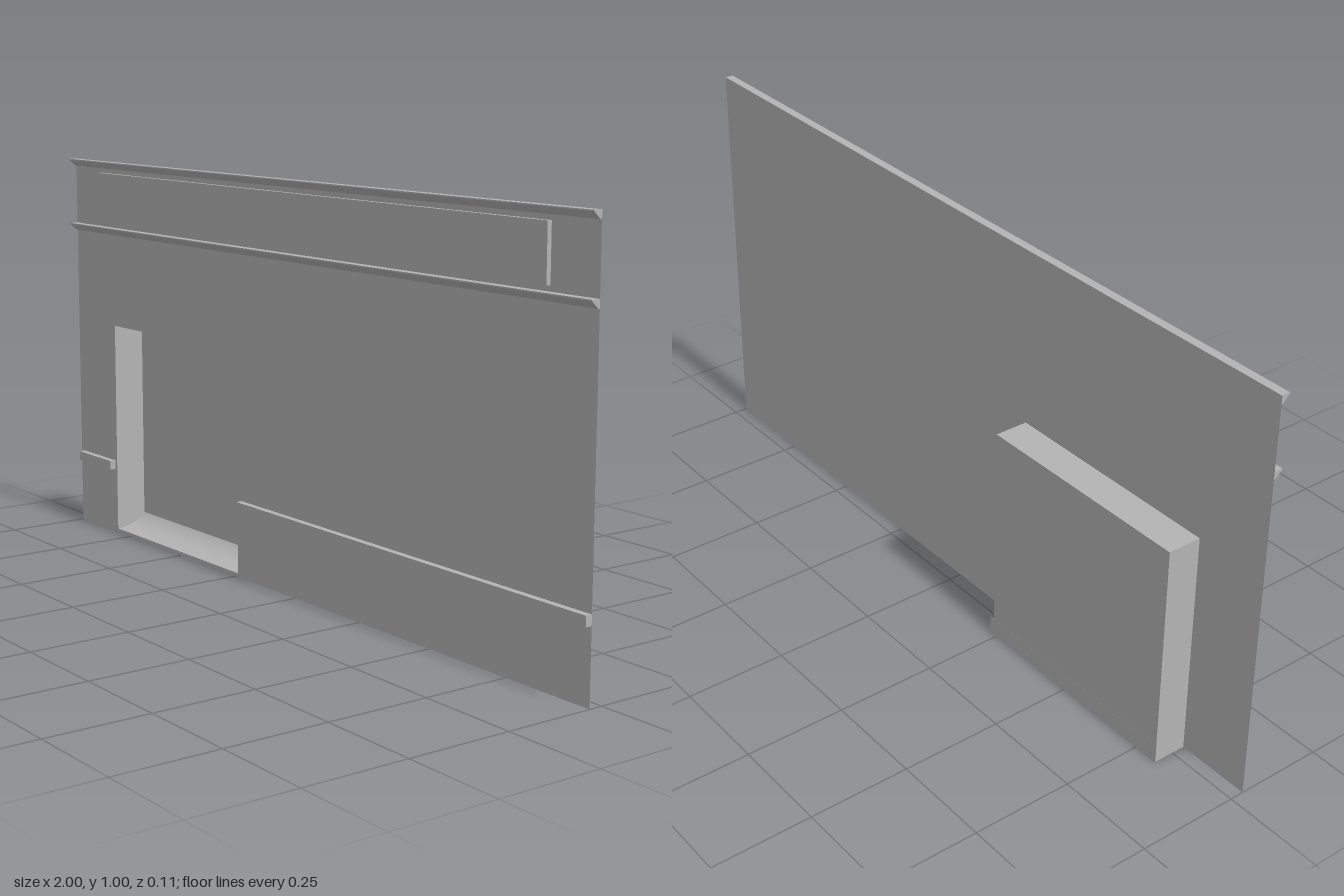
import * as THREE from 'three';

const WALL_Z = 0.034;
const BACK_Z = -0.05;
const DOOR = { x0: -0.813, x1: -0.24, top: 0.565 };

export function createModel() {
  const group = new THREE.Group();
  const grey = new THREE.MeshStandardMaterial({ color: 0xb4b4b4, side: THREE.DoubleSide });
  grey.name = 'plain grey';

  const add = (name, geometry) => {
    const mesh = new THREE.Mesh(geometry, grey);
    mesh.name = name;
    group.add(mesh);
    return mesh;
  };

  // Box given by its lower and upper limits
  const block = (name, [x0, x1], [y0, y1], [z0, z1]) =>
    add(name, new THREE.BoxGeometry(x1 - x0, y1 - y0, z1 - z0))
      .position.set((x0 + x1) / 2, (y0 + y1) / 2, (z0 + z1) / 2);

  // Flat sheet w by h, centred at a position, turned about x and y
  const sheet = (name, w, h, position, rx = 0, ry = 0) => {
    const mesh = add(name, new THREE.PlaneGeometry(w, h));
    mesh.position.set(...position);
    mesh.rotation.set(rx, ry, 0);
  };

  // Wall sheet with the doorway cut out of its lower edge
  const wall = new THREE.Shape([
    [-1, 0], [DOOR.x0, 0], [DOOR.x0, DOOR.top], [DOOR.x1, DOOR.top],
    [DOOR.x1, 0], [1, 0], [1, 1], [-1, 1],
  ].map(([x, y]) => new THREE.Vector2(x, y)));
  add('wall', new THREE.ShapeGeometry(wall).translate(0, 0, WALL_Z));

  // Recess behind the doorway
  const width = DOOR.x1 - DOOR.x0;
  const depth = WALL_Z - BACK_Z;
  const midX = (DOOR.x0 + DOOR.x1) / 2;
  const midZ = (WALL_Z + BACK_Z) / 2;
  sheet('recessBack', width, DOOR.top, [midX, DOOR.top / 2, BACK_Z]);
  sheet('recessCeiling', width, depth, [midX, DOOR.top, midZ], Math.PI / 2);
  for (const [name, x] of [['recessRightSide', DOOR.x0], ['recessLeftSide', DOOR.x1]]) {
    sheet(name, depth, DOOR.top, [x, DOOR.top / 2, midZ], 0, Math.PI / 2);
  }

  // Curved threshold, rising towards the back, with front lip and back strip
  const rampX0 = DOOR.x0, rampX1 = -0.228, rampW = rampX1 - rampX0;
  const rampMid = (rampX0 + rampX1) / 2;
  const curve = new THREE.QuadraticBezierCurve3(
    new THREE.Vector3(0, 0.009, WALL_Z - 0.001),
    new THREE.Vector3(0, 0.013, -0.025),
    new THREE.Vector3(0, 0.046, BACK_Z - 0.002),
  );
  const ramp = new THREE.PlaneGeometry(rampW, 1, 1, 12);
  const pos = ramp.attributes.position;
  for (let i = 0; i < pos.count; i++) {
    const p = curve.getPoint(pos.getY(i) + 0.5);
    pos.setXYZ(i, pos.getX(i) + rampMid, p.y, p.z);
  }
  ramp.computeVertexNormals();
  add('thresholdRamp', ramp);
  sheet('thresholdLip', rampW, 0.009, [rampMid, 0.0045, WALL_Z - 0.001]);
  sheet('thresholdBack', rampW, 0.046, [rampMid, 0.023, BACK_Z - 0.002]);

  // Cornice mouldings with a sloping underside
  for (const [name, top] of [['topCornice', 1], ['lowerCornice', 0.827]]) {
    const profile = new THREE.Shape([
      [WALL_Z, top - 0.019], [0.038, top - 0.019], [0.055, top - 0.003],
      [0.055, top], [WALL_Z, top],
    ].map(([z, y]) => new THREE.Vector2(z, y)));
    const moulding = new THREE.ExtrudeGeometry(profile, { depth: 2, bevelEnabled: false });
    add(name, moulding.rotateY(-Math.PI / 2).translate(1, 0, 0));
  }

  // Long raised sign panel between the cornices
  block('fasciaPanel', [-0.867, 0.861], [0.84, 0.969], [WALL_Z, 0.045]);

  // Rail along the wall, broken by the doorway
  block('rightRail', [-0.985, -0.822], [0.173, 0.197], [WALL_Z, 0.05]);
  block('leftRail', [-0.222, 1], [0.173, 0.197], [WALL_Z, 0.05]);

  return group;
}
